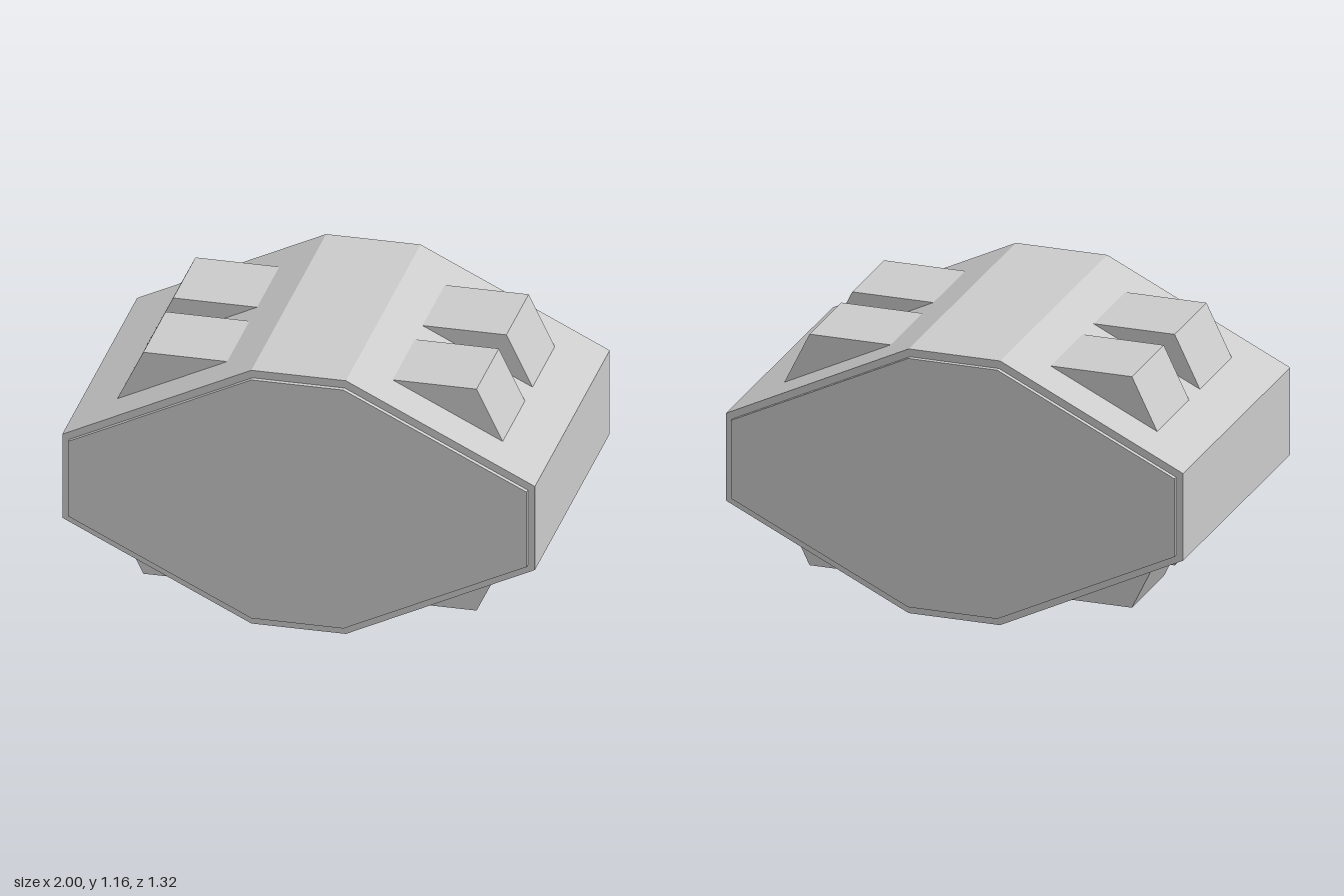
import * as THREE from 'three';

const MID = 0.582; // height of the horizontal symmetry plane

export function createModel() {
  const group = new THREE.Group();
  const material = new THREE.MeshStandardMaterial({ color: 0xcccccc, flatShading: true });

  // Extrudes an x/y outline from z0 to z1
  function addPrism(name, points, z0, z1) {
    const shape = new THREE.Shape(points.map(([x, y]) => new THREE.Vector2(x, y)));
    const geometry = new THREE.ExtrudeGeometry(shape, { depth: z1 - z0, bevelEnabled: false });
    geometry.translate(0, 0, z0);
    const mesh = new THREE.Mesh(geometry, material);
    mesh.name = name;
    group.add(mesh);
  }

  // Elongated octagon, symmetric about x = 0 and y = MID
  const octagon = (flat, wide, side, top) => [
    [flat, top], [wide, side], [wide, -side], [flat, -top],
    [-flat, -top], [-wide, -side], [-wide, side], [-flat, top],
  ].map(([x, y]) => [x, MID + y]);

  // Main hull and raised end panels
  addPrism('hull', octagon(0.2, 1, 0.192, 0.582), -0.642, 0.642);
  const panel = octagon(0.195, 0.97, 0.172, 0.548);
  addPrism('frontPanel', panel, 0.64, 0.662);
  addPrism('backPanel', panel, -0.662, -0.64);

  // Wedge blocks on the four sloping faces, two per face
  const wedge = [[0.35, 0.509], [0.705, 0.509], [0.816, 0.281], [0.55, 0.36]];
  for (const sx of [1, -1]) {
    for (const sy of [1, -1]) {
      const outline = wedge.map(([x, y]) => [sx * x, MID + sy * y]);
      const name = `${sy > 0 ? 'upper' : 'lower'}${sx > 0 ? 'Left' : 'Right'}Block`;
      addPrism(name + 'Front', outline, 0.065, 0.447);
      addPrism(name + 'Back', outline, -0.447, -0.065);
    }
  }
  return group;
}
